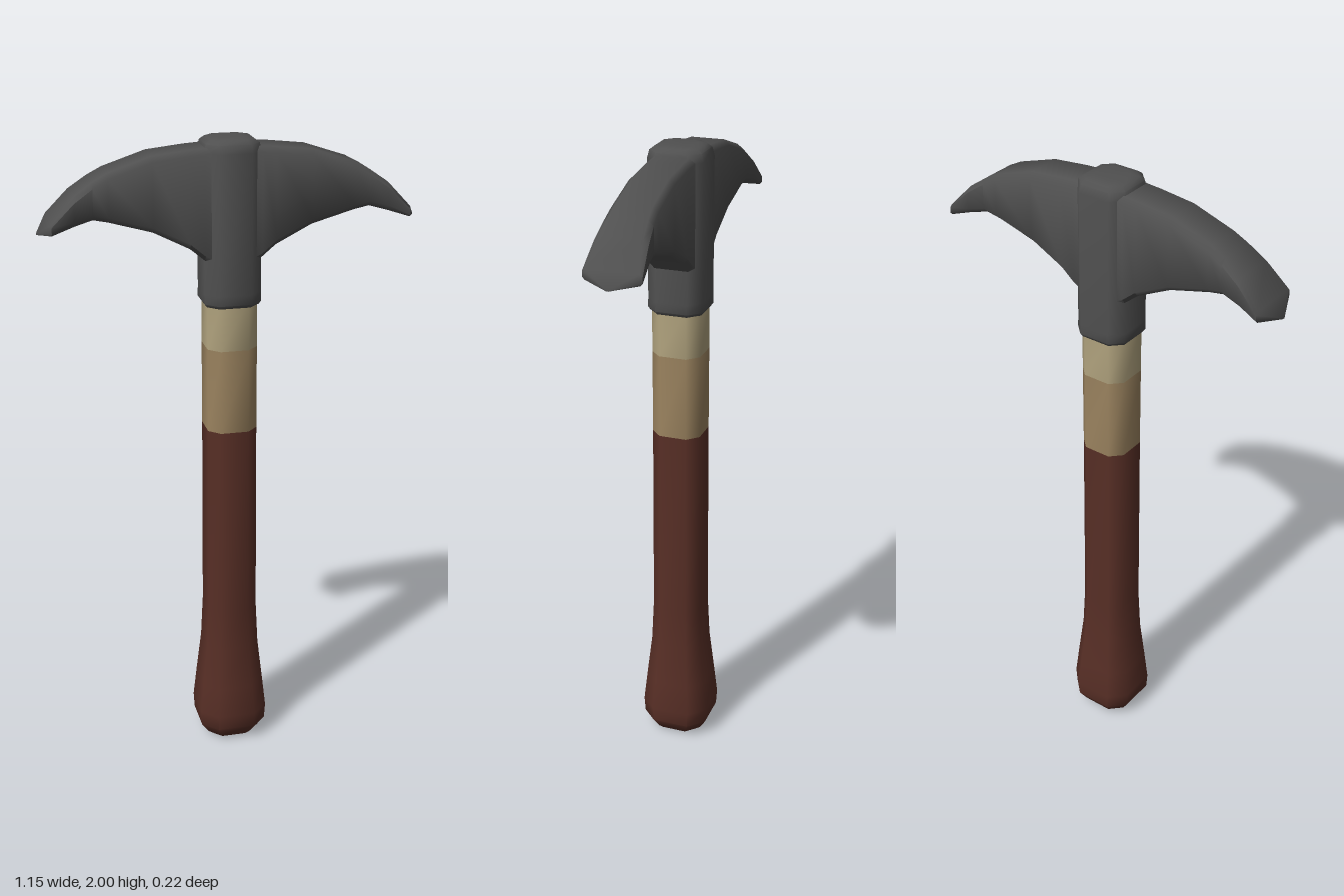
import * as THREE from 'three';
import { toCreasedNormals } from 'three/addons/utils/BufferGeometryUtils.js';

// Chamfered rectangle outline, counter-clockwise: half sizes a, b and corner cuts
const chamfered = (a, b, ca, cb = ca) => [
  [a, -b + cb], [a, b - cb], [a - ca, b], [-a + ca, b],
  [-a, b - cb], [-a, -b + cb], [-a + ca, -b], [a - ca, -b],
];

// Skin a list of equal-length rings of [x, y, z] and cap both ends
function loft(rings) {
  const n = rings[0].length, index = [];
  for (let i = 0; i < rings.length - 1; i++) {
    for (let j = 0; j < n; j++) {
      const p = i * n + j, q = i * n + (j + 1) % n;
      index.push(p, p + n, q, q, p + n, q + n);
    }
  }
  const last = (rings.length - 1) * n;
  for (let j = 1; j < n - 1; j++) {
    index.push(0, j, j + 1, last, last + j + 1, last + j);
  }
  const geometry = new THREE.BufferGeometry();
  geometry.setAttribute('position', new THREE.Float32BufferAttribute(rings.flat(2), 3));
  geometry.setIndex(index);
  return toCreasedNormals(geometry, 0.9);
}

// Upright eight-sided column from [y, half width] pairs
const column = (profile, cut) => loft(profile.map(([y, r]) =>
  chamfered(r, r, r * cut).map(([x, z]) => [x, y, z])));

// Blade growing along +x from [x, top, bottom, half thickness] stations
const blade = (stations) => loft(stations.map(([x, top, bottom, half]) => {
  const mid = (top + bottom) / 2, h = (top - bottom) / 2;
  const cut = Math.min(0.016, h * 0.45, half * 0.5);
  return chamfered(half, h, cut).map(([z, y]) => [x, mid + y, z]);
}));

export function createModel() {
  const group = new THREE.Group();
  const material = (name, color) => {
    const m = new THREE.MeshStandardMaterial({ color });
    m.name = name;
    return m;
  };
  const metal = material('dark metal', 0x505050);
  const grip = material('red brown grip', 0x582f26);
  const tan = material('tan wood', 0x9c8460);
  const cream = material('pale wood', 0xb2a47f);

  const add = (name, geometry, mat) => {
    const mesh = new THREE.Mesh(geometry, mat);
    mesh.name = name;
    group.add(mesh);
    return mesh;
  };

  // Handle: flared grip, then two wood bands
  add('handleGrip', column([
    [0, 0.07], [0.015, 0.085], [0.05, 0.107], [0.1, 0.11], [0.2, 0.1],
    [0.34, 0.085], [0.48, 0.079], [1.1, 0.077],
  ], 0.44), grip);
  add('handleTanBand', column([[1.1, 0.077], [1.365, 0.077]], 0.44), tan);
  add('handlePaleBand', column([[1.365, 0.077], [1.52, 0.077]], 0.44), cream);

  // Collar that holds the handle
  add('headCollar', column([
    [1.5, 0.08], [1.51, 0.087], [1.54, 0.086], [1.96, 0.086],
    [1.985, 0.08], [1.996, 0.066], [2, 0.045],
  ], 0.42), metal);

  // Two matching blades, curving down and flaring to pointed ends
  const stations = [
    [0, 1.985, 1.6, 0.068], [0.086, 1.975, 1.645, 0.068], [0.13, 1.972, 1.682, 0.068],
    [0.24, 1.96, 1.738, 0.068], [0.37, 1.917, 1.775, 0.069], [0.415, 1.893, 1.785, 0.072],
    [0.47, 1.855, 1.77, 0.078], [0.537, 1.782, 1.75, 0.086], [0.573, 1.742, 1.738, 0.004],
  ];
  const bladeGeometry = blade(stations);
  add('leftBlade', bladeGeometry, metal);
  add('rightBlade', bladeGeometry, metal).rotation.y = Math.PI;

  return group;
}
